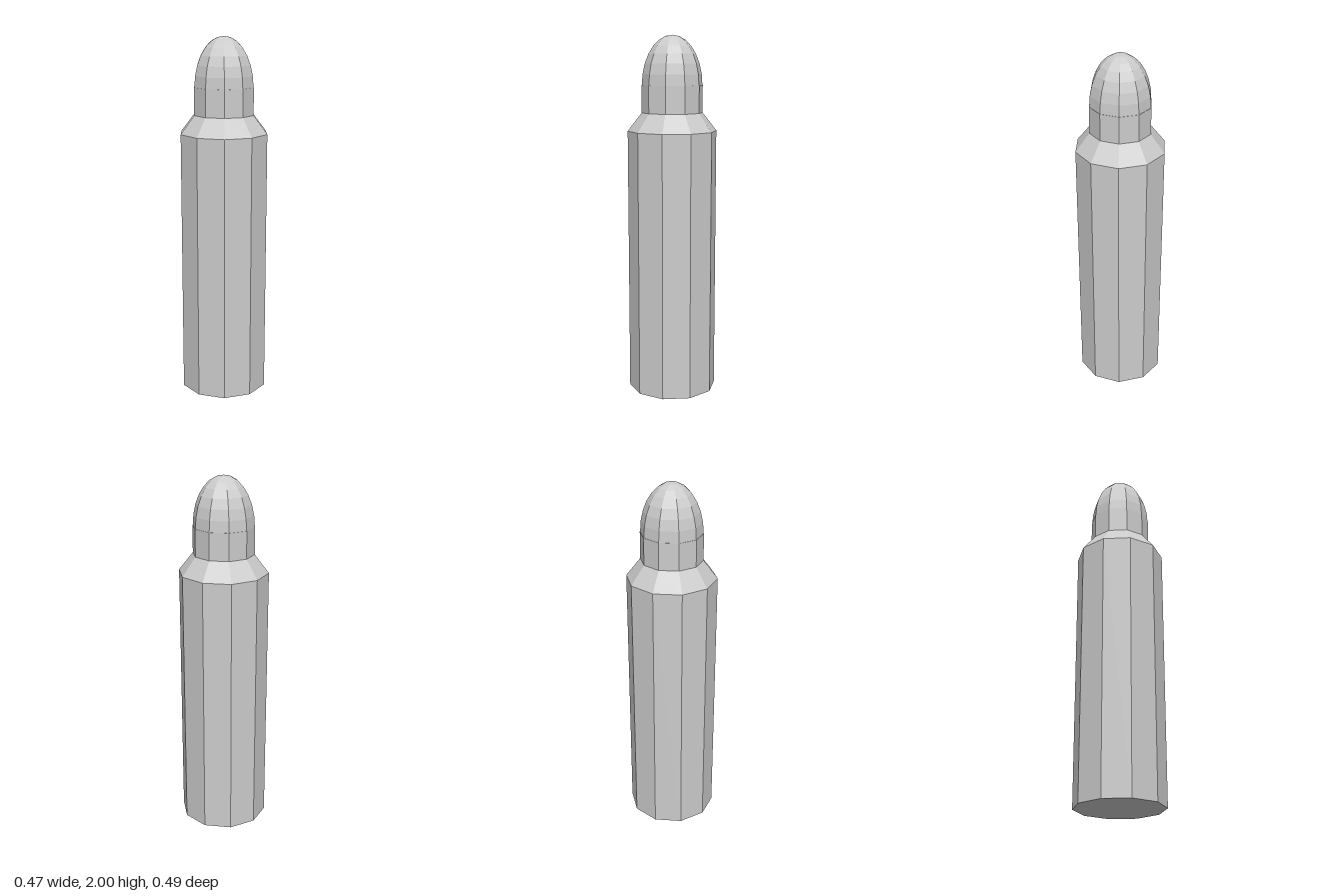
import * as THREE from 'three';

const SIDES = 10;

export function createModel() {
  const group = new THREE.Group();
  const material = new THREE.MeshStandardMaterial({ color: 0xcccccc, flatShading: true });

  const add = (name, geometry, y) => {
    const mesh = new THREE.Mesh(geometry, material);
    mesh.name = name;
    mesh.position.y = y;
    group.add(mesh);
    return mesh;
  };

  // Case: flat base, straight body, sloped shoulder, neck with a flat rim
  const profile = [[0, 0], [0.247, 0], [0.247, 1.48], [0.169, 1.58], [0.169, 1.73], [0, 1.73]];
  add('case', new THREE.LatheGeometry(profile.map(([r, y]) => new THREE.Vector2(r, y)), SIDES), 0);

  // Tip: stretched half sphere seated in the neck
  const tip = new THREE.SphereGeometry(1, SIDES, 7, Math.PI / 2, Math.PI * 2, 0, Math.PI / 2);
  tip.scale(0.167, 0.27, 0.167);
  add('tip', tip, 1.73);

  return group;
}
